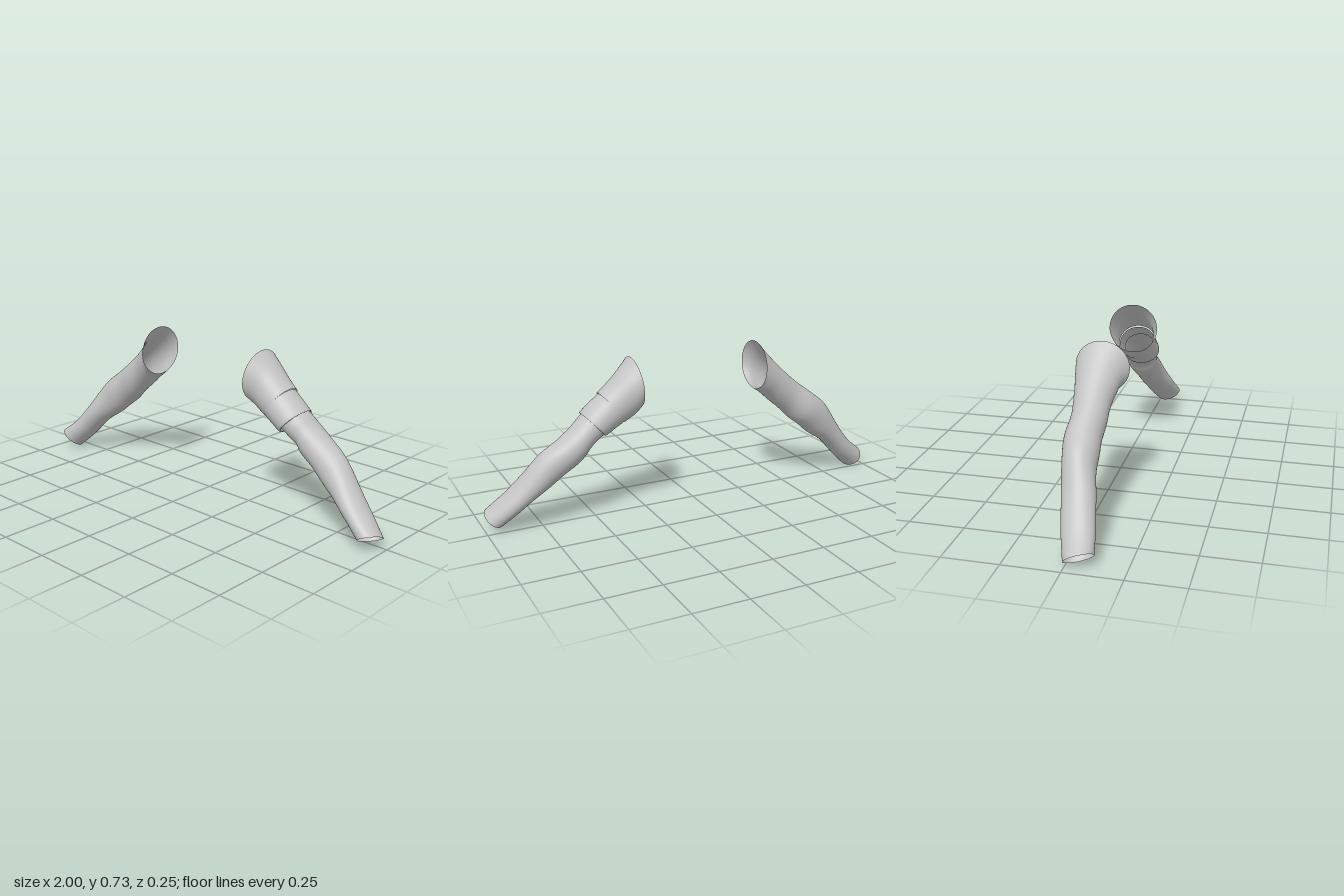
import * as THREE from 'three';

const SIDES = 48;

// Ring: [topX, topY, bottomX, bottomY, frontZ, backZ, skewX, skewY]
// skew tilts the front of the ring sideways / upwards.
const LEFT_CAP = [
  [0.313, 0.73, 0.282, 0.5, 0.11, -0.128, 0, 0],
  [0.375, 0.67, 0.31, 0.472, 0.084, -0.118, 0, 0],
  [0.42, 0.625, 0.335, 0.455, 0.08, -0.11, 0, 0],
  [0.468, 0.582, 0.362, 0.44, 0.08, -0.105, 0, 0],
];
const LEFT_BAND = [
  [0.463, 0.577, 0.362, 0.442, 0.078, -0.102, 0, 0],
  [0.508, 0.54, 0.405, 0.416, 0.082, -0.101, 0, 0],
  [0.55, 0.502, 0.447, 0.39, 0.083, -0.1, 0, 0],
  [0.549, 0.499, 0.455, 0.394, 0.072, -0.093, 0, 0],
];
const LEFT_SLEEVE = [
  [0.505, 0.53, 0.415, 0.425, 0.068, -0.088, 0, 0],
  [0.555, 0.488, 0.47, 0.388, 0.064, -0.092, 0, 0],
  [0.605, 0.443, 0.52, 0.352, 0.056, -0.098, 0, 0],
  [0.655, 0.404, 0.562, 0.302, 0.054, -0.1, 0, 0],
  [0.757, 0.33, 0.66, 0.225, 0.06, -0.083, 0, 0],
  [0.863, 0.206, 0.775, 0.142, 0.088, -0.058, 0, 0.006],
  [0.93, 0.138, 0.85, 0.082, 0.105, -0.034, -0.005, 0.013],
  [0.997, 0.078, 0.912, 0.03, 0.118, -0.002, -0.01, 0.02],
];
const RIGHT_SLEEVE = [
  [-0.328, 0.735, -0.322, 0.505, 0.117, -0.122, 0, 0],
  [-0.38, 0.672, -0.345, 0.487, 0.088, -0.115, 0, 0],
  [-0.46, 0.592, -0.395, 0.445, 0.068, -0.102, 0, 0],
  [-0.545, 0.518, -0.475, 0.373, 0.06, -0.092, 0, 0],
  [-0.64, 0.447, -0.55, 0.307, 0.058, -0.1, 0, 0],
  [-0.725, 0.377, -0.635, 0.24, 0.062, -0.085, 0, 0],
  [-0.82, 0.25, -0.74, 0.165, 0.084, -0.06, 0, 0.005],
  [-0.91, 0.147, -0.83, 0.075, 0.104, -0.035, 0.005, 0.012],
  [-0.998, 0.078, -0.906, 0.006, 0.118, -0.004, 0.01, 0.02],
];

// Smooth interpolation through one column of the ring list
function sample(rings, column, t) {
  const s = t * (rings.length - 1);
  const i = Math.min(Math.floor(s), rings.length - 2);
  const f = s - i;
  const at = (k) => rings[Math.max(0, Math.min(rings.length - 1, k))][column];
  const [a, b, c, d] = [at(i - 1), at(i), at(i + 1), at(i + 2)];
  return 0.5 * (2 * b + (c - a) * f + (2 * a - 5 * b + 4 * c - d) * f * f
    + (3 * b - a - 3 * c + d) * f * f * f);
}

// Open cloth tube lofted through the rings, with optional soft folds
function clothTube(rings, steps, folds, reach = 1) {
  const positions = [];
  const index = [];
  for (let i = 0; i <= steps; i++) {
    const t = i / steps;
    const [tx, ty, bx, by, zf, zb, kx, ky] = rings[0].map((_, c) => sample(rings, c, t));
    const fade = Math.sin(Math.PI * t) * folds;
    for (let j = 0; j < SIDES; j++) {
      const a = (j / SIDES) * Math.PI * 2;
      const r = 1 + fade * Math.sin(t * 34 + 2 * Math.sin(a + 0.6)) * (0.5 + 0.5 * Math.cos(a - 2.4));
      const u = Math.cos(a) * r * reach;
      const v = Math.sin(a) * r * reach;
      positions.push(
        (tx + bx) / 2 + (u * (tx - bx)) / 2 + v * kx,
        (ty + by) / 2 + (u * (ty - by)) / 2 + v * ky,
        (zf + zb) / 2 + (v * (zf - zb)) / 2,
      );
    }
  }
  const outward = rings[0][0] > 0;
  for (let i = 0; i < steps; i++) {
    for (let j = 0; j < SIDES; j++) {
      const a = i * SIDES + j;
      const b = i * SIDES + ((j + 1) % SIDES);
      const c = a + SIDES;
      const d = b + SIDES;
      if (outward) index.push(a, b, c, b, d, c);
      else index.push(a, c, b, b, c, d);
    }
  }
  const geometry = new THREE.BufferGeometry();
  geometry.setAttribute('position', new THREE.Float32BufferAttribute(positions, 3));
  geometry.setIndex(index);
  geometry.computeVertexNormals();
  return geometry;
}

export function createModel() {
  const model = new THREE.Group();
  model.name = 'sleeves';
  const cloth = new THREE.MeshStandardMaterial({ color: 0xc4c4c4, side: THREE.DoubleSide });
  cloth.name = 'grey cloth';

  const add = (parent, name, geometry) => {
    const mesh = new THREE.Mesh(geometry, cloth);
    mesh.name = name;
    parent.add(mesh);
  };

  // Left sleeve: shoulder cap, upper-arm band and long lower sleeve
  const left = new THREE.Group();
  left.name = 'leftSleeve';
  add(left, 'shoulderCap', clothTube(LEFT_CAP, 18, 0));
  add(left, 'upperArmBand', clothTube(LEFT_BAND, 12, 0));
  add(left, 'lowerSleeve', clothTube(LEFT_SLEEVE, 56, 0.025));
  model.add(left);

  // Right sleeve: one continuous piece
  const right = new THREE.Group();
  right.name = 'rightSleeve';
  add(right, 'fullSleeve', clothTube(RIGHT_SLEEVE, 72, 0.025));
  model.add(right);

  return model;
}
